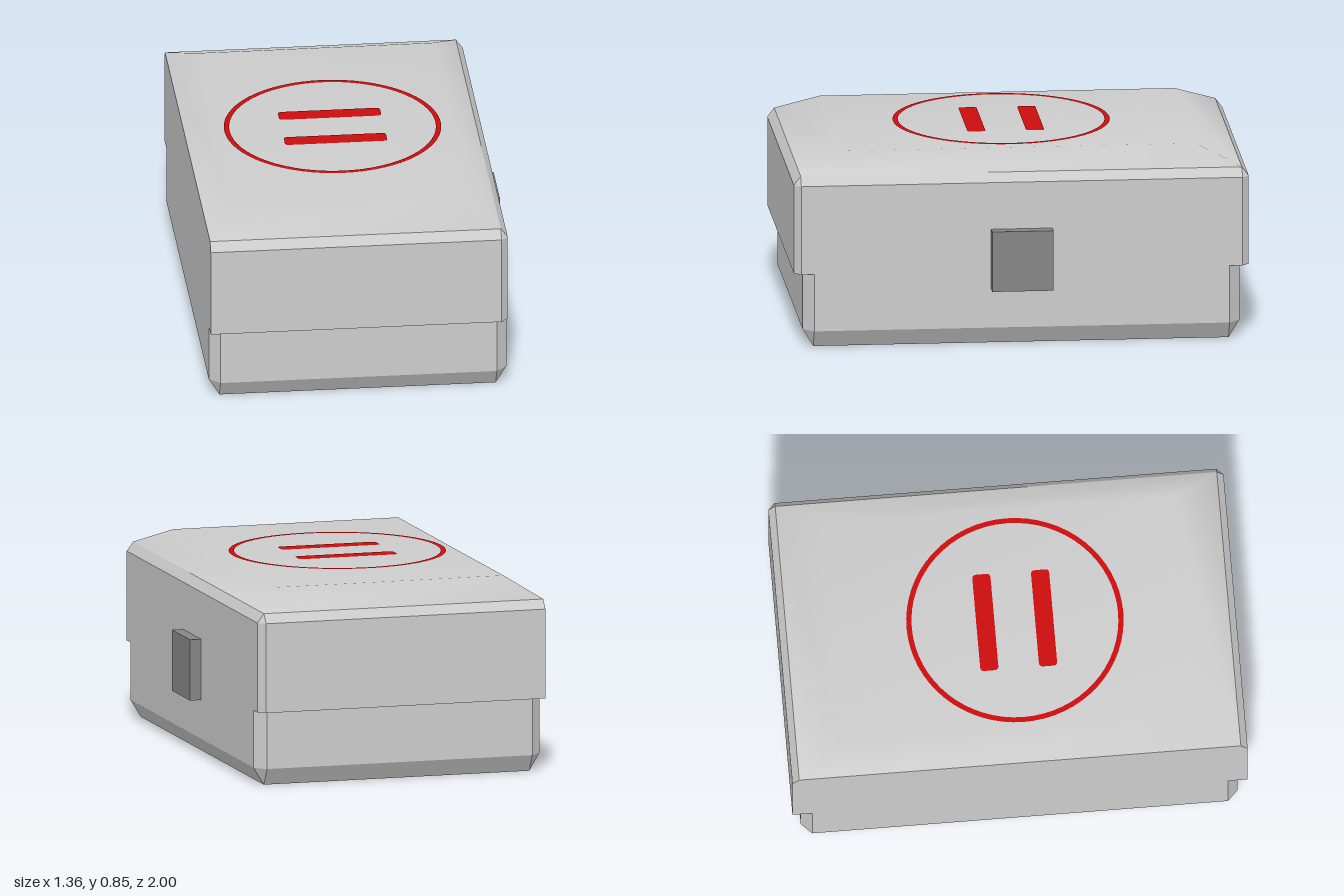
import * as THREE from 'three';

// Octagonal cross-section at height y; corner cuts differ on the hinge (-x) and latch (+x) sides
function section(y, x0, x1, z, cutBack, cutFront) {
  const b = cutBack, f = cutFront;
  return [
    [x1 - f, z], [x1, z - f], [x1, f - z], [x1 - f, -z],
    [x0 + b, -z], [x0, b - z], [x0, z - b], [x0 + b, z],
  ].map(([x, pz]) => new THREE.Vector3(x, y, pz));
}

// Faceted skin through the sections, bottom to top, with optional end caps
function loft(sections, capTop) {
  const pts = [];
  for (let s = 0; s < sections.length - 1; s++) {
    const lo = sections[s], hi = sections[s + 1];
    for (let i = 0; i < 8; i++) {
      const j = (i + 1) % 8;
      pts.push(lo[i], lo[j], hi[j], lo[i], hi[j], hi[i]);
    }
  }
  const first = sections[0], last = sections[sections.length - 1];
  for (let i = 1; i < 7; i++) {
    pts.push(first[0], first[i + 1], first[i]);
    if (capTop) pts.push(last[0], last[i], last[i + 1]);
  }
  const g = new THREE.BufferGeometry().setFromPoints(pts);
  g.computeVertexNormals();
  return g;
}

// Softly shaded hipped roof between two rectangles
function roofGeometry() {
  const rect = (y, x0, x1, z) => [[x1, y, z], [x1, y, -z], [x0, y, -z], [x0, y, z]];
  const g = new THREE.BufferGeometry();
  const p = [...rect(0.77, -0.68, 0.6, 0.97), ...rect(0.85, -0.555, 0.475, 0.78)];
  g.setAttribute('position', new THREE.Float32BufferAttribute(p.flat(), 3));
  const index = [4, 5, 6, 4, 6, 7];
  for (let i = 0; i < 4; i++) {
    const j = (i + 1) % 4;
    index.push(i, j, j + 4, i, j + 4, i + 4);
  }
  g.setIndex(index);
  g.computeVertexNormals();
  return g;
}

// Flat stripe with rounded corners, lying in the xz plane
function stripeGeometry(w, d, r) {
  const s = new THREE.Shape();
  const x = w / 2, y = d / 2;
  s.moveTo(r - x, -y);
  s.lineTo(x - r, -y).quadraticCurveTo(x, -y, x, r - y);
  s.lineTo(x, y - r).quadraticCurveTo(x, y, x - r, y);
  s.lineTo(r - x, y).quadraticCurveTo(-x, y, -x, y - r);
  s.lineTo(-x, r - y).quadraticCurveTo(-x, -y, r - x, -y);
  return new THREE.ShapeGeometry(s, 4).rotateX(-Math.PI / 2);
}

export function createModel() {
  const model = new THREE.Group();
  model.name = 'storageCase';

  const material = (name, color) => {
    const m = new THREE.MeshStandardMaterial({ color });
    m.name = name;
    return m;
  };
  const shell = material('lightGrey', 0xcccccc);
  const dark = material('midGrey', 0x868686);
  const red = material('red', 0xcc0c0c);

  const add = (name, geometry, mat, x = 0, y = 0, z = 0) => {
    const mesh = new THREE.Mesh(geometry, mat);
    mesh.name = name;
    mesh.position.set(x, y, z);
    model.add(mesh);
  };

  // Lower tray with bevelled corners and foot
  add('base', loft([
    section(0, -0.633, 0.583, 0.913, 0, 0),
    section(0.077, -0.68, 0.63, 0.96, 0.047, 0.047),
    section(0.333, -0.68, 0.63, 0.96, 0.047, 0.047),
  ], true), shell);

  // Overhanging lid, square along the hinge side
  add('lid', loft([
    section(0.333, -0.68, 0.63, 1, 0, 0.03),
    section(0.73, -0.68, 0.63, 1, 0, 0.03),
    section(0.77, -0.68, 0.6, 0.97, 0, 0),
  ], false), shell);
  add('lidTop', roofGeometry(), shell);

  // Latch spanning the seam
  add('latch', new THREE.BoxGeometry(0.055, 0.27, 0.27), dark, 0.6535, 0.385, 0);

  // Painted ring and stripes
  const ring = new THREE.RingGeometry(0.453, 0.476, 64).rotateX(-Math.PI / 2);
  add('paintedRing', ring, red, -0.045, 0.853, 0.03);
  for (const z of [-0.1, 0.158]) {
    add('paintedStripe', stripeGeometry(0.45, 0.08, 0.018), red, -0.045, 0.853, z);
  }

  return model;
}
